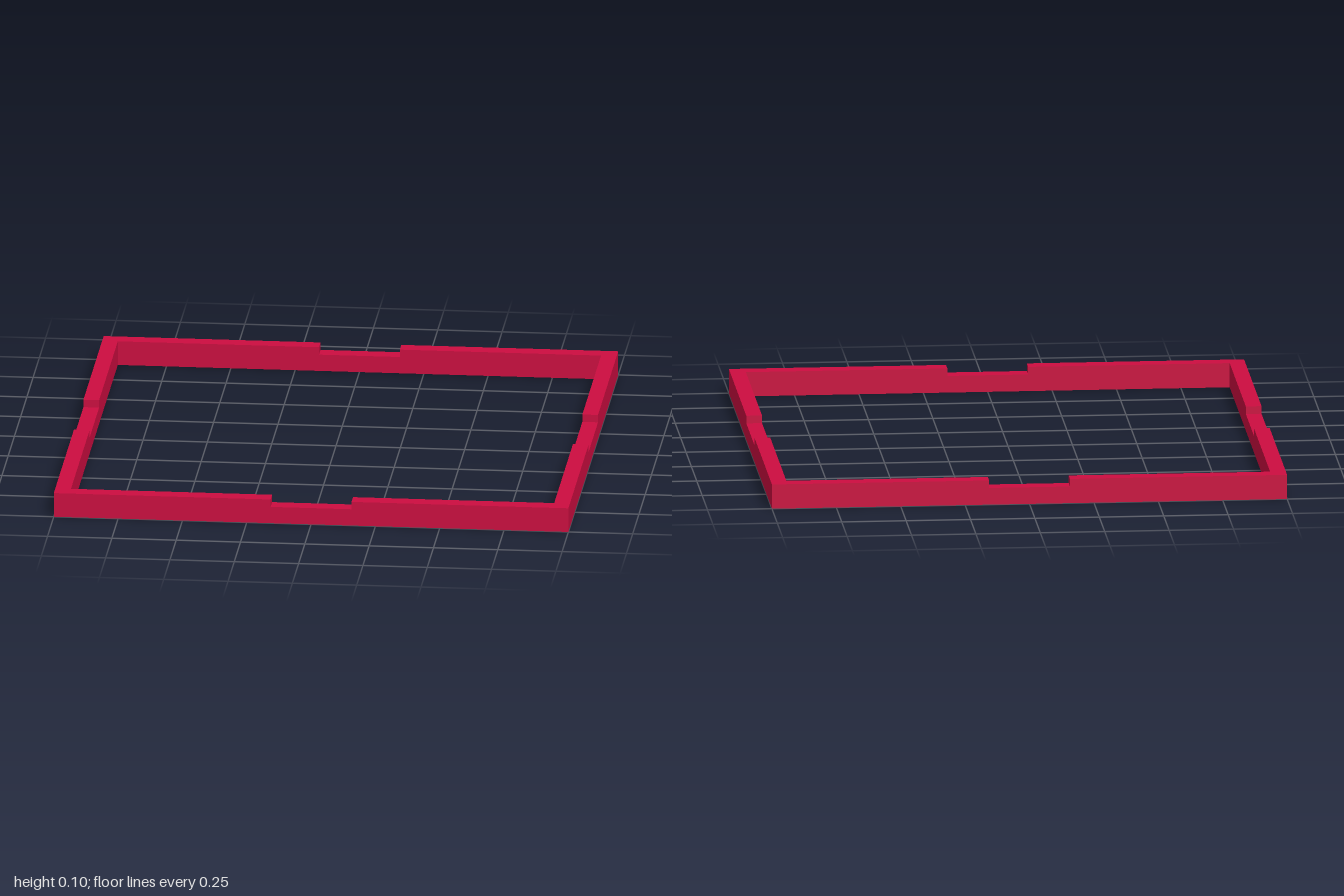
import * as THREE from 'three';

const WALL = 0.061;    // rail thickness
const HEIGHT = 0.096;  // full rail height
const NOTCH_Y = 0.066; // height of the notch floor

// Upright rail of the given half length with a shallow notch in the middle of its top
function railGeometry(half, notchHalf) {
  const profile = new THREE.Shape([
    [-half, 0], [half, 0], [half, HEIGHT], [notchHalf, HEIGHT], [notchHalf, NOTCH_Y],
    [-notchHalf, NOTCH_Y], [-notchHalf, HEIGHT], [-half, HEIGHT],
  ].map(([x, y]) => new THREE.Vector2(x, y)));
  const geometry = new THREE.ExtrudeGeometry(profile, { depth: WALL, bevelEnabled: false });
  return geometry.translate(0, 0, 1 - WALL); // outer face at z = 1
}

export function createModel() {
  const model = new THREE.Group();
  model.name = 'notchedFrame';
  const red = new THREE.MeshStandardMaterial({ color: 0xcc0d40 });
  red.name = 'crimson';

  // Front and back rails run the full width, side rails fit between them
  const longRail = railGeometry(1, 0.157);
  const sideRail = railGeometry(1 - WALL, 0.189);
  ['frontRail', 'leftRail', 'backRail', 'rightRail'].forEach((name, i) => {
    const rail = new THREE.Mesh(i % 2 ? sideRail : longRail, red);
    rail.name = name;
    rail.rotation.y = i * Math.PI / 2;
    model.add(rail);
  });

  return model;
}
